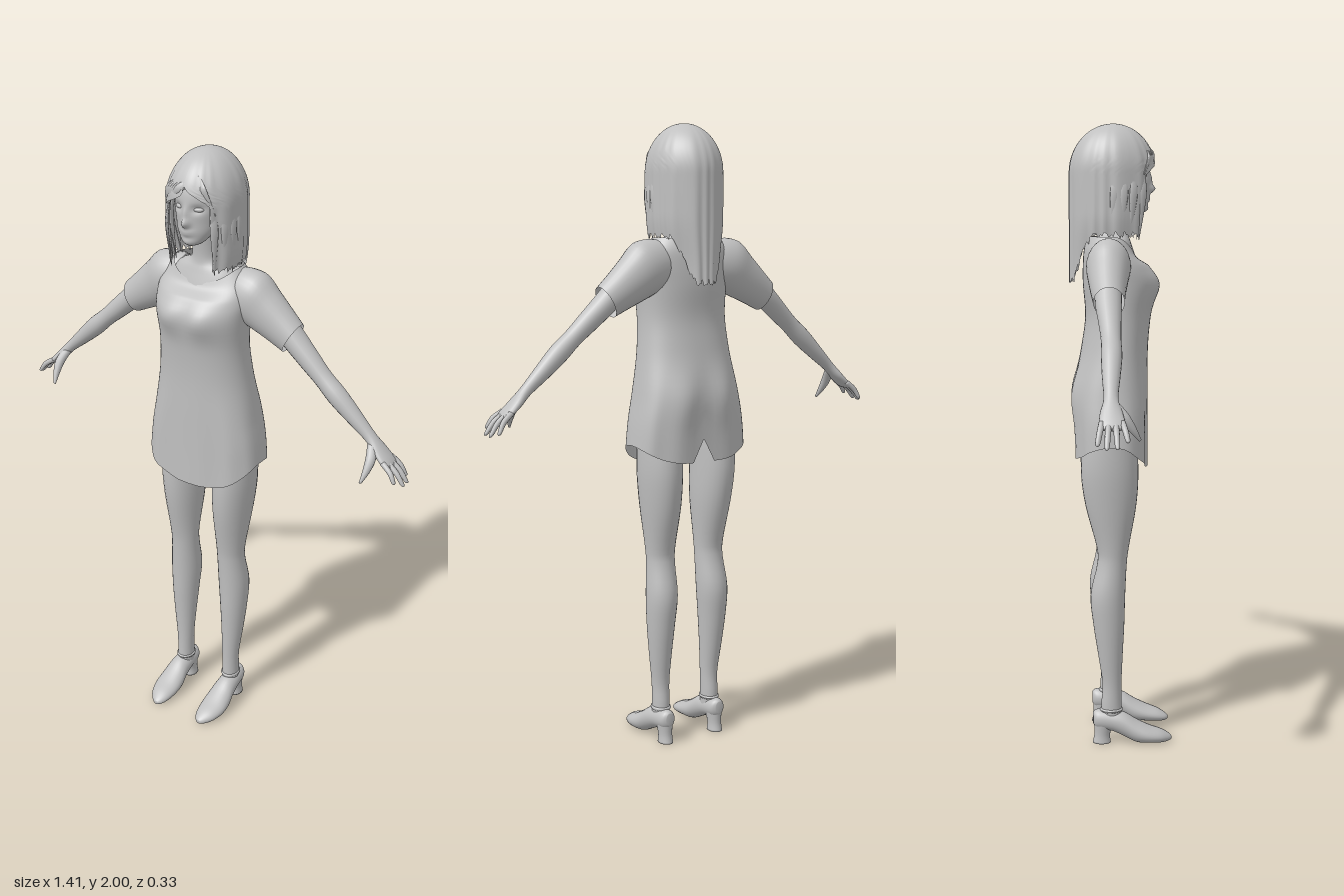
import * as THREE from 'three';

const V = (x, y, z) => new THREE.Vector3(x, y, z);
const X = V(1, 0, 0), Y = V(0, 1, 0), Z = V(0, 0, 1);
const { smoothstep, lerp } = THREE.MathUtils;
const bump = (dx, dy) => Math.exp(-dx * dx - dy * dy);
const power = (c, e) => Math.sign(c) * Math.pow(Math.abs(c), e);

// Smoothly interpolate rows of numbers, 'steps' rows per span
function refine(keys, steps) {
  const out = [], n = keys.length;
  for (let i = 0; i < n - 1; i++) {
    const a = keys[Math.max(i - 1, 0)], b = keys[i], c = keys[i + 1], d = keys[Math.min(i + 2, n - 1)];
    for (let s = 0; s < steps; s++) {
      const t = s / steps;
      out.push(b.map((p, k) => p + 0.5 * t * (c[k] - a[k] + t * (2 * a[k] - 5 * p + 4 * c[k] - d[k]
        + t * (3 * (p - c[k]) + d[k] - a[k])))));
    }
  }
  out.push(keys[n - 1]);
  return out;
}

// Skin over rounded sections; key = [x, y, z, radius along hint, radius across]
function loft(keys, hint, { dir, sides = 20, steps = 4, caps = true, square = () => 1, warp } = {}) {
  const first = keys[0], last = keys[keys.length - 1];
  const d = dir || V(last[0] - first[0], last[1] - first[1], last[2] - first[2]).normalize();
  const u = hint.clone().addScaledVector(d, -hint.dot(d)).normalize();
  const v = u.clone().cross(d);
  const rows = refine(keys, steps), pos = [], index = [];
  for (const [x, y, z, ra, rb] of rows) {
    const e = square(y);
    for (let j = 0; j < sides; j++) {
      const a = j / sides * Math.PI * 2;
      const p = V(x, y, z).addScaledVector(u, ra * power(Math.cos(a), e)).addScaledVector(v, rb * power(Math.sin(a), e));
      if (warp) warp(p, a);
      pos.push(p.x, p.y, p.z);
    }
  }
  for (let i = 0; i < rows.length - 1; i++) {
    for (let j = 0; j < sides; j++) {
      const k = (j + 1) % sides, a = i * sides, b = a + sides;
      index.push(a + j, b + j, a + k, b + j, b + k, a + k);
    }
  }
  if (caps) {
    const end = (rows.length - 1) * sides, c = pos.length / 3;
    pos.push(first[0], first[1], first[2], last[0], last[1], last[2]);
    for (let j = 0; j < sides; j++) {
      const k = (j + 1) % sides;
      index.push(c, j, k, c + 1, end + k, end + j);
    }
  }
  return surface(pos, index);
}

function surface(pos, index) {
  const g = new THREE.BufferGeometry();
  g.setAttribute('position', new THREE.Float32BufferAttribute(pos, 3));
  g.setIndex(index);
  g.computeVertexNormals();
  return g;
}

// Copy a geometry to the other side of x = 0
function mirrored(geo) {
  const g = geo.clone(), p = g.attributes.position, ix = g.index;
  for (let i = 0; i < p.count; i++) p.setX(i, -p.getX(i));
  for (let i = 0; i < ix.count; i += 3) {
    const t = ix.getX(i);
    ix.setX(i, ix.getX(i + 1));
    ix.setX(i + 1, t);
  }
  g.computeVertexNormals();
  return g;
}

// Long hair: a shell round the head, open at the face, longest at the back
function hairShell() {
  const rows = 44, cols = 96, pos = [], index = [];
  for (let i = 0; i <= rows; i++) {
    for (let j = 0; j <= cols; j++) {
      const side = j / cols * 2 - 1, n = Math.abs(side) * Math.PI, t = i / rows;
      const hem = 1.51 + 0.145 * smoothstep(n, 0.45, 1.45) + 0.013 * Math.sin(j * 1.9) * Math.sin(j * 0.7);
      const y = 2 - (2 - hem) * Math.pow(t, 1.7);
      const open = 0.74 * (side > 0 ? smoothstep(1.92 - y, 0, 0.07) : smoothstep(1.895 - y, 0, 0.06));
      const a = side * (Math.PI - open), c = -Math.cos(a);
      const dome = Math.sqrt(Math.max(0, 1 - (Math.max(y - 1.85, 0) / 0.15) ** 2));
      const taper = 1 - 0.22 * smoothstep(1.72 - y, 0, 0.2);
      const strand = 1 + 0.022 * t * Math.sin(a * 17 + 2 * Math.sin(a * 5));
      const depth = c > 0 ? 0.136 - 0.02 * smoothstep(1.82 - y, 0, 0.15) : 0.139;
      pos.push(Math.sin(a) * 0.116 * dome * taper * strand, y, -0.022 + c * depth * dome * strand);
      if (i < rows && j < cols) {
        const p = i * (cols + 1) + j, q = p + cols + 1;
        index.push(p, p + 1, q, p + 1, q + 1, q);
      }
    }
  }
  return surface(pos, index);
}

export function createModel() {
  const model = new THREE.Group();
  const grey = new THREE.MeshStandardMaterial({ color: 0xc0c0c0, side: THREE.DoubleSide });
  grey.name = 'lightGrey';
  const add = (name, geo) => {
    const m = new THREE.Mesh(geo, grey);
    m.name = name;
    model.add(m);
    return m;
  };
  const pair = (name, geo) => {
    add('left' + name, geo);
    add('right' + name, mirrored(geo));
  };

  // Dress body with bust, seat, curved hem, back slit and scooped neckline
  add('dress', loft([
    [0, 0.96, -0.03, 0.2, 0.115], [0, 1.05, -0.031, 0.192, 0.116], [0, 1.17, -0.03, 0.176, 0.117],
    [0, 1.3, -0.018, 0.157, 0.107], [0, 1.4, -0.007, 0.149, 0.105], [0, 1.5, -0.002, 0.154, 0.117],
    [0, 1.56, -0.015, 0.158, 0.104], [0, 1.61, -0.03, 0.146, 0.085], [0, 1.65, -0.03, 0.115, 0.073],
  ], X, {
    dir: Y, sides: 64, steps: 5, caps: false,
    square: y => 0.9 - 0.2 * smoothstep(1.3 - y, 0, 0.25),
    warp(p, a) {
      const s = Math.sin(a), y = p.y, ax = Math.abs(p.x);
      if (s > 0) p.z += 0.014 * bump((ax - 0.06) / 0.045, (y - 1.5) / 0.05);
      else p.z -= 0.012 * bump((ax - 0.07) / 0.05, (y - 1.15) / 0.08);
      const low = smoothstep(1.3 - y, 0, 0.34);
      p.z += 0.004 * low * Math.sin(a * 9) * s;
      const slit = s < -0.9999 ? 0.075 : 0;
      const hem = 1 + slit - (s > 0 ? 0.085 : 0.055) * Math.pow(Math.abs(s), 1.6);
      if (y < 1.14) p.y += (1.14 - y) / 0.18 * (hem - 0.96);
      if (y > 1.56 && s > 0) p.y -= 0.05 * (y - 1.56) / 0.09 * s * s;
    },
  }));
  pair('Sleeve', loft([
    [0.06, 1.58, -0.04, 0.05, 0.07], [0.11, 1.572, -0.04, 0.064, 0.083], [0.155, 1.557, -0.041, 0.069, 0.086],
    [0.2, 1.525, -0.043, 0.062, 0.075], [0.25, 1.49, -0.044, 0.054, 0.063], [0.297, 1.457, -0.043, 0.047, 0.053],
  ], Z, { sides: 28, caps: false }));

  // Neck, upper chest and hips
  add('neckAndChest', loft([
    [0, 1.54, -0.02, 0.13, 0.085], [0, 1.6, -0.025, 0.122, 0.07], [0, 1.635, -0.025, 0.098, 0.058],
    [0, 1.66, -0.02, 0.052, 0.046], [0, 1.7, -0.015, 0.042, 0.042], [0, 1.79, -0.005, 0.042, 0.045],
  ], X, { dir: Y, sides: 32 }));
  const hips = add('hips', new THREE.SphereGeometry(1, 24, 16));
  hips.scale.set(0.15, 0.11, 0.085);
  hips.position.set(0, 1.1, -0.035);

  // Head with sockets, nose, lips and brow
  add('head', loft([
    [0, 1.724, 0.06, 0.01, 0.012], [0, 1.735, 0.05, 0.034, 0.032], [0, 1.765, 0.034, 0.057, 0.054],
    [0, 1.8, 0.012, 0.071, 0.078], [0, 1.845, 0, 0.08, 0.093], [0, 1.89, -0.012, 0.082, 0.1],
    [0, 1.935, -0.022, 0.072, 0.088], [0, 1.97, -0.025, 0.045, 0.055],
  ], X, {
    dir: Y, sides: 72, steps: 7,
    warp(p) {
      if (p.z < 0.02) return;
      const ax = Math.abs(p.x), y = p.y;
      p.z += 0.02 * bump(p.x / 0.012, (y - 1.798) / 0.014) + 0.009 * bump(p.x / 0.009, (y - 1.826) / 0.022)
        + 0.006 * bump(p.x / 0.02, (y - 1.772) / 0.007) + 0.005 * bump(p.x / 0.018, (y - 1.762) / 0.006)
        + 0.006 * bump(p.x / 0.025, (y - 1.738) / 0.012)
        - 0.011 * bump((ax - 0.034) / 0.018, (y - 1.842) / 0.012);
    },
  }));
  const eye = new THREE.SphereGeometry(1, 16, 10).scale(0.016, 0.007, 0.008).rotateY(0.35).translate(0.034, 1.841, 0.074);
  pair('Eye', eye);

  // Hair shell, face-framing locks and swept fringe
  add('hair', hairShell());
  const lock = (a, b, c, w, hint) => loft([
    [...a, 0.003, 0.002], [...a.map((q, i) => lerp(q, b[i], 0.5)), w * 0.8, 0.004],
    [...b, w, 0.005], [...c, 0.001, 0.001]], hint, { sides: 10 });
  for (let i = 0; i < 4; i++) {
    const z = 0.068 - i * 0.03, x = 0.114 * Math.sqrt(1 - ((z + 0.022) / 0.136) ** 2);
    pair('SideLock' + (i + 1), lock([x - 0.014, 1.9, z], [x, 1.77, z],
      [x - 0.008, 1.64 + 0.012 * (i % 2), z - 0.012], 0.013, V(0.6 - i * 0.2, 0, -1)));
  }
  for (let i = 0; i < 5; i++) {
    add('fringeLock' + (i + 1), lock([0.035 - i * 0.012, 1.945, 0.074], [-0.02 - i * 0.011, 1.9 - i * 0.003, 0.103 - i * 0.004],
      [-0.045 - i * 0.011, 1.868 - i * 0.012, 0.095 - i * 0.008], 0.012, V(1, -1, 0)));
  }
  add('fringeLock6', lock([0.03, 1.945, 0.074], [0.06, 1.9, 0.085], [0.088, 1.83, 0.066], 0.012, V(1, 1, 0)));

  // Arms with palms, fingers and thumbs
  pair('Arm', loft([
    [0.24, 1.515, -0.045, 0.042, 0.04], [0.3, 1.455, -0.045, 0.04, 0.037], [0.36, 1.4, -0.042, 0.034, 0.033],
    [0.41, 1.355, -0.04, 0.03, 0.029], [0.46, 1.31, -0.04, 0.031, 0.031], [0.52, 1.255, -0.043, 0.026, 0.025],
    [0.575, 1.205, -0.045, 0.021, 0.018], [0.61, 1.17, -0.045, 0.032, 0.016], [0.643, 1.14, -0.043, 0.037, 0.012],
    [0.655, 1.129, -0.043, 0.03, 0.007],
  ], Z));
  const tips = [[0.688, 1.098, 0], [0.705, 1.082, -0.03], [0.703, 1.08, -0.06], [0.686, 1.088, -0.086]];
  tips.forEach(([x, y, z], i) => {
    const z0 = -0.015 - i * 0.019;
    pair('Finger' + (i + 1), loft([
      [0.636, 1.147, z0, 0.009, 0.009], [(0.636 + x) / 2 + 0.004, (1.147 + y) / 2 + 0.004, (z0 + z) / 2, 0.0085, 0.0085],
      [lerp(0.636, x, 0.9), lerp(1.147, y, 0.9), lerp(z0, z, 0.9), 0.007, 0.006], [x, y, z, 0.002, 0.002],
    ], Z, { sides: 10 }));
  });
  pair('Thumb', loft([
    [0.588, 1.187, -0.035, 0.015, 0.014], [0.6, 1.155, -0.008, 0.016, 0.015],
    [0.599, 1.12, 0.016, 0.011, 0.011], [0.592, 1.088, 0.037, 0.004, 0.004],
  ], X, { sides: 12 }));

  // Legs
  pair('Leg', loft([
    [0.096, 0.07, -0.03, 0.028, 0.034], [0.096, 0.13, -0.032, 0.028, 0.033], [0.096, 0.2, -0.03, 0.029, 0.031],
    [0.099, 0.3, -0.035, 0.037, 0.04], [0.1, 0.4, -0.04, 0.045, 0.05], [0.098, 0.5, -0.043, 0.051, 0.056],
    [0.094, 0.6, -0.03, 0.047, 0.048], [0.094, 0.66, -0.027, 0.049, 0.052], [0.097, 0.8, -0.033, 0.062, 0.082],
    [0.101, 0.92, -0.037, 0.067, 0.092], [0.1, 1.05, -0.036, 0.066, 0.082],
  ], X, { dir: Y, sides: 28 }));

  // Heeled shoes with ankle straps
  pair('Shoe', loft([
    [0.098, 0.085, -0.092, 0.012, 0.02], [0.098, 0.081, -0.077, 0.027, 0.032], [0.099, 0.075, -0.03, 0.033, 0.035],
    [0.1, 0.062, 0.01, 0.037, 0.04], [0.1, 0.04, 0.05, 0.044, 0.037], [0.1, 0.028, 0.09, 0.045, 0.028],
    [0.097, 0.02, 0.13, 0.036, 0.021], [0.093, 0.014, 0.155, 0.021, 0.013], [0.092, 0.012, 0.166, 0.008, 0.006],
  ], X, { dir: Z, sides: 28, warp: p => { p.y = Math.max(p.y, 0); } }));
  pair('Heel', loft([
    [0.098, 0, -0.064, 0.024, 0.03], [0.098, 0.03, -0.062, 0.022, 0.026], [0.098, 0.075, -0.055, 0.028, 0.035],
  ], X, { dir: Y }));
  pair('AnkleStrap', new THREE.TorusGeometry(0.028, 0.004, 8, 28).rotateX(Math.PI / 2).scale(1, 1.4, 1.18).translate(0.096, 0.112, -0.032));

  return model;
}
